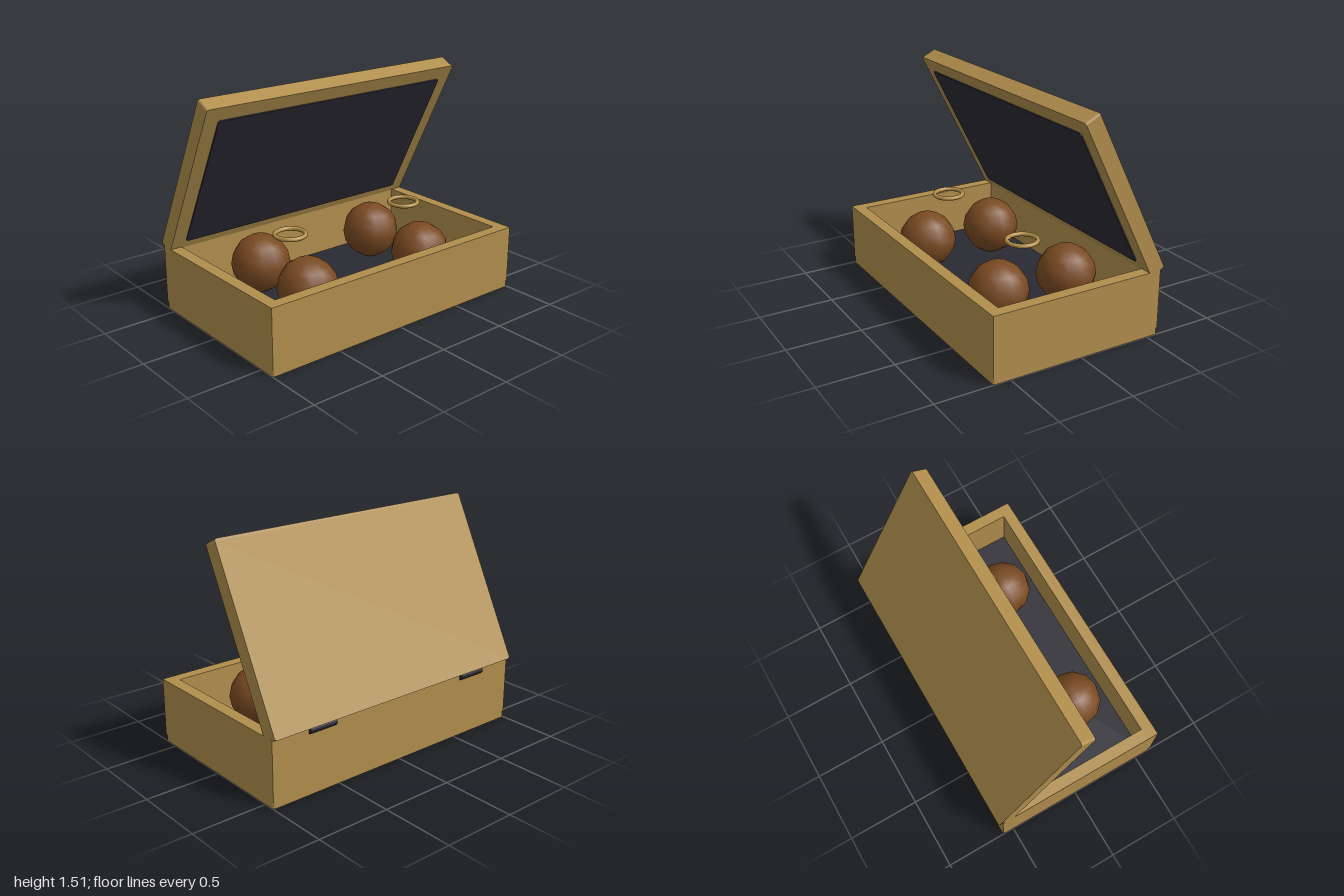
import * as THREE from 'three';

const material = (name, color) => {
  const m = new THREE.MeshStandardMaterial({ color });
  m.name = name;
  return m;
};

// Slab with rounded corners in xy, centred, thickness along z
function slab(width, height, thickness, radius) {
  const x = width / 2, y = height / 2, r = radius;
  const s = new THREE.Shape();
  s.moveTo(-x + r, -y);
  s.lineTo(x - r, -y);
  s.quadraticCurveTo(x, -y, x, -y + r);
  s.lineTo(x, y - r);
  s.quadraticCurveTo(x, y, x - r, y);
  s.lineTo(-x + r, y);
  s.quadraticCurveTo(-x, y, -x, y - r);
  s.lineTo(-x, -y + r);
  s.quadraticCurveTo(-x, -y, -x + r, -y);
  const g = new THREE.ExtrudeGeometry(s, { depth: thickness, bevelEnabled: false, curveSegments: 4 });
  return g.translate(0, 0, -thickness / 2);
}

export function createModel() {
  const wood = material('wood', 0xb08d4c);
  const lining = material('dark lining', 0x2a2a33);
  const brown = material('brown ball', 0x7a4a22);
  const brass = material('brass', 0xb5904a);

  const model = new THREE.Group();
  model.name = 'openBox';
  const add = (parent, name, geometry, mat, x, y, z) => {
    const mesh = new THREE.Mesh(geometry, mat);
    mesh.name = name;
    mesh.position.set(x, y, z);
    parent.add(mesh);
    return mesh;
  };

  // Open case
  const depth = 1.197, height = 0.44, wall = 0.08, base = 0.045, midZ = 0.018;
  const wallH = height - base, wallY = base + wallH / 2;
  add(model, 'basePlate', slab(2, depth, base, 0.018).rotateX(-Math.PI / 2), wood, 0, base / 2, midZ);
  for (const side of [-1, 1]) {
    add(model, side > 0 ? 'frontWall' : 'backWall', new THREE.BoxGeometry(2, wallH, wall), wood,
      0, wallY, midZ + side * (depth - wall) / 2);
    add(model, side > 0 ? 'leftWall' : 'rightWall', new THREE.BoxGeometry(wall, wallH, depth - 2 * wall), wood,
      side * (1 - wall / 2), wallY, midZ);
  }
  add(model, 'floorLining', new THREE.BoxGeometry(2 - 2 * wall, 0.06, depth - 2 * wall), lining, 0, 0.075, midZ);

  // Lid, leaning back on its hinges
  const lid = new THREE.Group();
  lid.name = 'lid';
  lid.position.set(0, 0.9575, -0.295);
  lid.rotation.x = 0.469;
  model.add(lid);
  add(lid, 'lidPanel', slab(2, 1.195, 0.107, 0.018), wood, 0, 0, 0);
  add(lid, 'lidLining', slab(1.8, 1.0, 0.016, 0.018), lining, 0, 0, 0.0535);

  // Contents and hinges, mirrored left and right
  const ball = new THREE.SphereGeometry(0.196, 12, 8);
  const ring = new THREE.TorusGeometry(0.098, 0.0145, 10, 32).rotateX(Math.PI / 2);
  const hinge = new THREE.CylinderGeometry(0.028, 0.028, 0.2, 12).rotateZ(Math.PI / 2);
  for (const side of [-1, 1]) {
    const label = side > 0 ? 'left' : 'right';
    add(model, label + 'FrontBall', ball, brown, side * 0.48, 0.301, 0.273);
    add(model, label + 'BackBall', ball, brown, side * 0.48, 0.301, -0.237);
    add(model, label + 'Ring', ring, brass, side * 0.482, 0.602, 0.1);
    add(model, label + 'Hinge', hinge, lining, side * 0.635, 0.428, -0.577);
  }
  return model;
}
